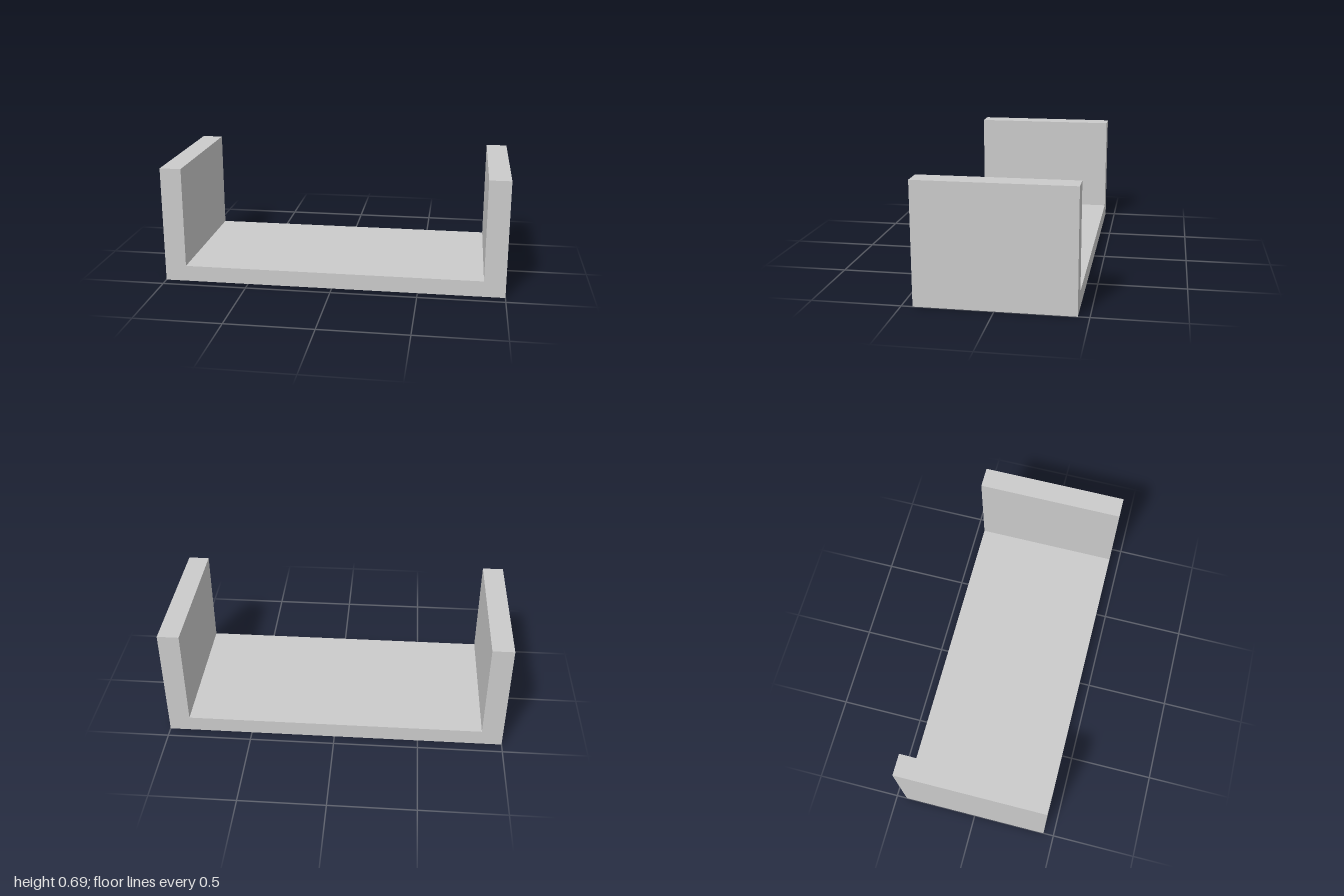
import * as THREE from 'three';

const HALF_WIDTH = 1;
const HEIGHT = 0.6875;
const DEPTH = 0.875;
const WALL = 0.125;
const FLOOR = 0.094;

export function createModel() {
  const group = new THREE.Group();
  group.name = 'channelBracket';

  // U-shaped section: a floor with an upright wall at each end
  const inner = HALF_WIDTH - WALL;
  const section = new THREE.Shape([
    [-HALF_WIDTH, 0], [HALF_WIDTH, 0], [HALF_WIDTH, HEIGHT], [inner, HEIGHT],
    [inner, FLOOR], [-inner, FLOOR], [-inner, HEIGHT], [-HALF_WIDTH, HEIGHT],
  ].map(([x, y]) => new THREE.Vector2(x, y)));

  // Sweep the section from back to front, centred on z
  const geometry = new THREE.ExtrudeGeometry(section, { depth: DEPTH, bevelEnabled: false });
  geometry.translate(0, 0, -DEPTH / 2);

  const material = new THREE.MeshStandardMaterial({ color: 0xcccccc });
  const channel = new THREE.Mesh(geometry, material);
  channel.name = 'uChannel';
  group.add(channel);
  return group;
}
